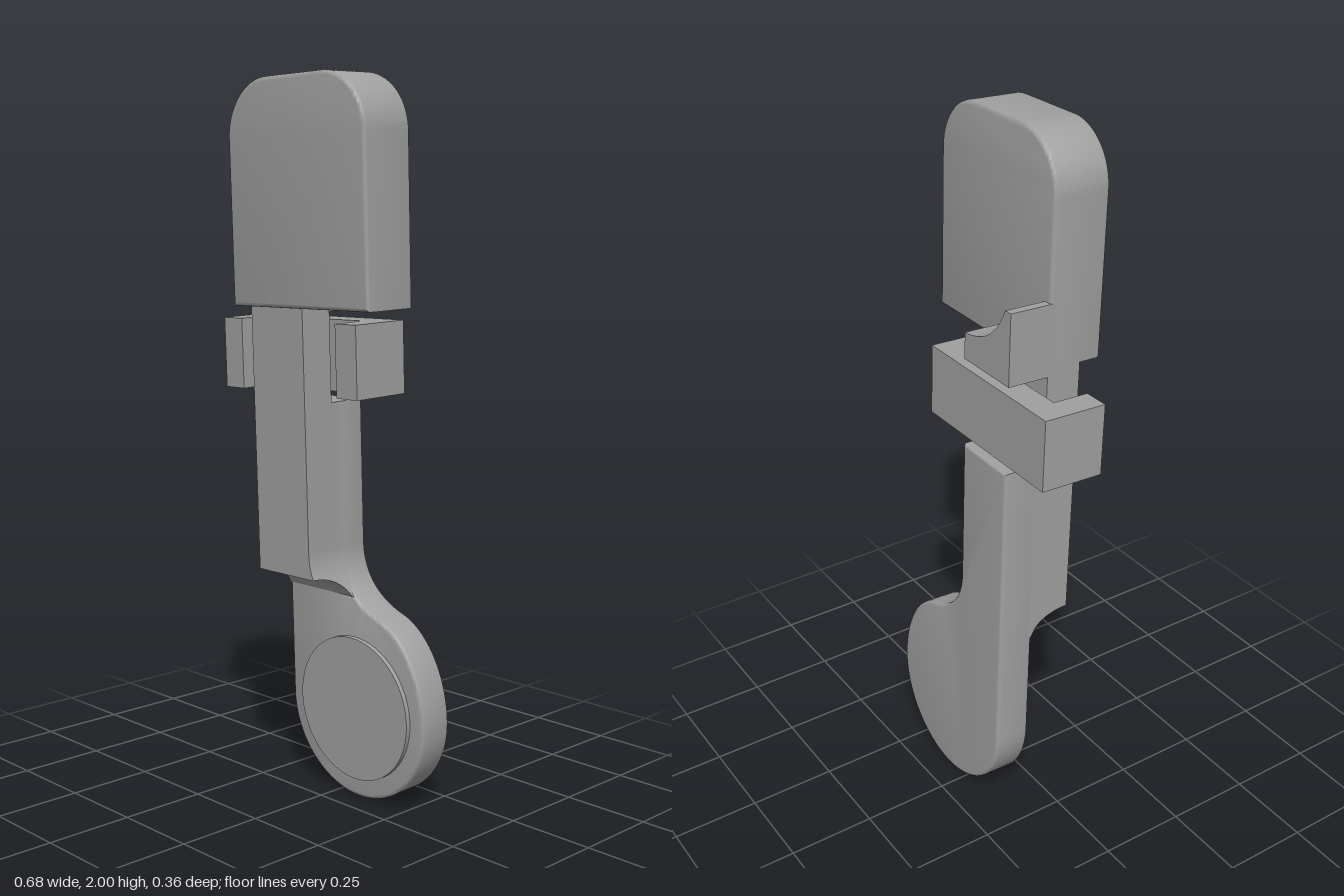
import * as THREE from 'three';
import { toCreasedNormals } from 'three/addons/utils/BufferGeometryUtils.js';

const LEFT = 0.335, RIGHT = -0.18, STEM = 0.025;

export function createModel() {
  const model = new THREE.Group();
  const lean = new THREE.Group();
  lean.name = 'leaningBody';
  model.add(lean);

  const grey = new THREE.MeshStandardMaterial({ color: 0xa0a0a0 });
  grey.name = 'plain grey';

  const add = (name, geometry) => {
    const mesh = new THREE.Mesh(toCreasedNormals(geometry, 0.6), grey);
    mesh.name = name;
    lean.add(mesh);
    return mesh;
  };
  // Extrude between two depths, with an optional rounded rim inside the outline
  const slab = (shape, z0, z1, rim = 0, steps = 1) => new THREE.ExtrudeGeometry(shape, {
    depth: z1 - z0 - 2 * rim, steps, curveSegments: 20,
    bevelEnabled: rim > 0, bevelSize: rim, bevelThickness: rim, bevelOffset: -rim, bevelSegments: 3,
  }).translate(0, 0, z0 + rim);
  const polygon = (pts) => new THREE.Shape(pts.map(([x, y]) => new THREE.Vector2(x, y)));

  // Upper block with two rounded top corners
  const r = 0.155, top = 2.002;
  const head = new THREE.Shape();
  head.moveTo(RIGHT, 1.4);
  head.lineTo(LEFT, 1.4);
  head.lineTo(LEFT, top - r);
  head.absarc(LEFT - r, top - r, r, 0, Math.PI / 2);
  head.absarc(RIGHT + r, top - r, r, Math.PI / 2, Math.PI);
  add('upperBlock', slab(head, -0.02, 0.146, 0.01));

  // Round paddle and the rear half of the stem in one outline
  const cx = (LEFT + RIGHT) / 2, cy = 0.255, rad = (LEFT - RIGHT) / 2;
  const paddle = new THREE.Shape();
  paddle.moveTo(RIGHT, 1.13);
  paddle.lineTo(RIGHT, cy);
  paddle.absarc(cx, cy, rad, Math.PI, Math.PI * 2);
  paddle.bezierCurveTo(LEFT, 0.38, 0.27, 0.5, 0.175, 0.533);
  paddle.bezierCurveTo(0.09, 0.56, STEM, 0.62, STEM, 0.72);
  paddle.lineTo(STEM, 1.13);
  add('paddle', slab(paddle, -0.14, -0.035, 0.01));

  // Shallow disc on the paddle face
  const disc = add('paddleDisc', new THREE.CylinderGeometry(0.207, 0.207, 0.03, 64).rotateX(Math.PI / 2));
  disc.position.set(cx + 0.002, cy + 0.008, -0.036);

  // Front half of the stem: its foot is a cove that follows the paddle outline
  const foot = 0.577, blend = 0.72, front = 0.081, back = -0.035;
  const edge = (y) => STEM + 0.06 * Math.pow(Math.max(0, (blend - y) / 0.145), 2);
  const side = [];
  for (let i = 0; i <= 10; i++) {
    const y = foot + (blend - foot) * i / 10;
    side.push([edge(y), y]);
  }
  const stem = slab(polygon([[RIGHT, foot], ...side, [STEM, 1.13], [RIGHT, 1.13]]), -0.05, front, 0, 16);
  const p = stem.attributes.position;
  for (let i = 0; i < p.count; i++) {
    const y = p.getY(i);
    if (y >= blend) continue;
    const t = Math.max(0, (p.getZ(i) - back) / (front - back));
    const low = foot + 0.07 * Math.sqrt(Math.max(0, 1 - (1 - t) * (1 - t)));
    const ny = low + (blend - low) * (y - foot) / (blend - foot);
    p.setY(i, ny);
    if (p.getX(i) > 0) p.setX(i, edge(ny));
  }
  add('stemFront', stem);

  // Thinner neck between stem and upper block
  add('neck', slab(polygon([[RIGHT, 1.13], [STEM, 1.13], [STEM, 1.41], [RIGHT, 1.41]]), -0.02, front));

  // Hook on the back of the block, with a scooped top
  const hook = new THREE.Shape();
  hook.moveTo(RIGHT, 1.38);
  hook.lineTo(STEM, 1.38);
  hook.lineTo(STEM, 1.455);
  hook.bezierCurveTo(-0.06, 1.46, -0.12, 1.5, -0.155, 1.58);
  hook.lineTo(RIGHT, 1.58);
  add('backHook', slab(hook, -0.14, 0));

  // U-shaped clip around the neck, open to the front (drawn as x, -z)
  const clip = polygon([
    [-0.34, -0.045], [-0.265, -0.045], [-0.265, 0.06], [0.112, 0.06],
    [0.112, -0.045], [0.19, -0.045], [0.19, 0.138], [-0.34, 0.138],
  ]);
  add('clip', slab(clip, 1.155, 1.355).rotateX(-Math.PI / 2));

  // Lean the whole body forward about mid-height
  const tilt = 0.0355;
  lean.rotation.x = tilt;
  lean.position.set(0, 1 - Math.cos(tilt), -Math.sin(tilt));
  return model;
}
